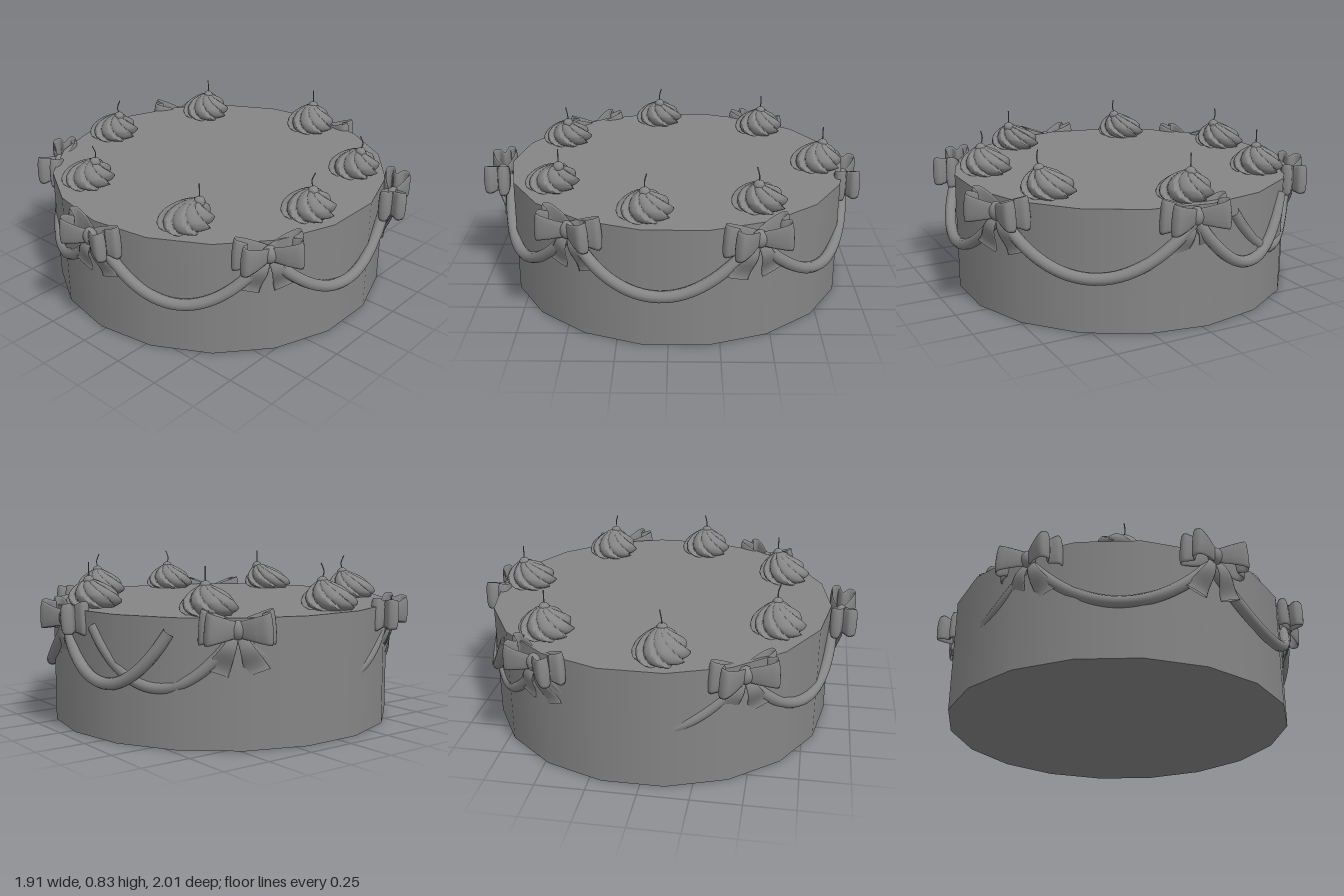
import * as THREE from 'three';
import { ParametricGeometry } from 'three/addons/geometries/ParametricGeometry.js';

const mat = new THREE.MeshStandardMaterial({ color: 0x858585, side: THREE.DoubleSide });
const V = (x, y, z) => new THREE.Vector3(x, y, z);

function add(parent, name, geometry, x = 0, y = 0, z = 0) {
  const m = new THREE.Mesh(geometry, mat);
  m.name = name;
  m.position.set(x, y, z);
  parent.add(m);
  return m;
}

// Flat band with rounded edges: path(u) gives its centre line, half(u) its half width,
// across the direction of its width
function ribbon(path, half, across, thick, steps) {
  const w = across.normalize();
  return new ParametricGeometry((u, v, out) => {
    const e = 0.01;
    const dir = path(Math.min(1, u + e)).sub(path(Math.max(0, u - e))).normalize();
    const n = V(0, 0, 0).crossVectors(dir, w).normalize();
    const a = v * Math.PI * 2;
    out.copy(path(u)).addScaledVector(w, half(u) * Math.cos(a)).addScaledVector(n, thick * Math.sin(a));
  }, steps, 10);
}

// Bow facing +z with its knot at the origin
function createBow() {
  const bow = new THREE.Group();
  bow.name = 'bow';
  for (const s of [-1, 1]) {
    // Each loop has a pleat pinched into its outer end
    const outline = new THREE.CatmullRomCurve3([
      [0, -0.01], [0.09, -0.035], [0.16, -0.03], [0.165, 0], [0.115, 0.02],
      [0.145, 0.055], [0.13, 0.085], [0.08, 0.07], [0, 0.02]].map(([x, z]) => V(s * x, 0.07 * x, z)));
    const loop = ribbon(
      u => outline.getPoint(u),
      u => 0.035 + 0.28 * Math.abs(outline.getPoint(u).x),
      V(s * -0.08, 1, 0), 0.008, 40);
    add(bow, 'bowLoop', loop);
    const tail = ribbon(
      u => V(s * (0.01 + 0.085 * u), -0.02 - 0.18 * u, 0.005 + 0.02 * Math.sin(u * 5)),
      u => 0.018 + 0.042 * u,
      V(1, s * 0.35, 0), 0.007, 10);
    add(bow, 'bowTail', tail);
  }
  add(bow, 'bowKnot', new THREE.SphereGeometry(1, 14, 10), 0, 0, 0.015).scale.set(0.038, 0.046, 0.034);
  return bow;
}

// Piped cream swirl with eight twisted blades; its tip leans by (dx, dz)
function creamSwirl(dx, dz) {
  const profile = new THREE.CatmullRomCurve3([
    V(0.1, 0, 0), V(0.128, 0.025, 0), V(0.122, 0.06, 0), V(0.088, 0.1, 0), V(0.045, 0.13, 0), V(0.004, 0.15, 0)]);
  return new ParametricGeometry((u, v, out) => {
    const p = profile.getPoint(v);
    const a = u * Math.PI * 2;
    const f = (8 * (u + v * 0.28)) % 1;
    const blade = f < 0.75 ? Math.pow(f / 0.75, 0.7) : (1 - f) / 0.25;
    const r = p.x * (0.84 + 0.24 * blade);
    const lean = v * v;
    out.set(r * Math.sin(a) + dx * lean, p.y, r * Math.cos(a) + dz * lean);
  }, 96, 20);
}

// Draped cord from azimuth a0 to a1 (degrees), hung around the side of the cake
function swag(a0, a1, r0, rMid, r1) {
  const pts = [];
  for (let i = 0; i <= 14; i++) {
    const t = i / 14, k = 2 * t - 1;
    const a = THREE.MathUtils.degToRad(a0 + (a1 - a0) * t);
    const r = rMid + ((k < 0 ? r0 : r1) - rMid) * Math.pow(k, 4);
    pts.push(V(r * Math.sin(a), 0.28 + 0.26 * k * k, r * Math.cos(a)));
  }
  return new THREE.TubeGeometry(new THREE.CatmullRomCurve3(pts), 36, 0.029, 10, false);
}

export function createModel() {
  const model = new THREE.Group();
  model.name = 'cake';

  add(model, 'cakeBody', new THREE.CylinderGeometry(0.897, 0.897, 0.61, 18), -0.03, 0.305, -0.035);

  // Cream swirls with cherries: x, z, lean x, lean z
  const swirls = [
    [0.025, -0.78, -0.01, -0.035], [0.57, -0.44, 0.045, 0.01], [0.685, 0.11, 0.025, 0], [0.325, 0.6, 0.055, -0.045],
    [-0.38, 0.6, 0.055, -0.01], [-0.76, 0.08, 0.05, -0.005], [-0.585, -0.52, 0.015, -0.01]];
  swirls.forEach(([x, z, dx, dz], i) => {
    const topping = new THREE.Group();
    topping.name = 'topping';
    topping.position.set(x, 0.605, z);
    add(topping, 'creamSwirl', creamSwirl(dx, dz));
    add(topping, 'cherry', new THREE.SphereGeometry(0.028, 14, 10), dx, 0.132, dz);
    const bend = 0.012 * Math.sin(i * 2.1);
    const stem = new THREE.CatmullRomCurve3([V(dx, 0.15, dz), V(dx + bend, 0.185, dz), V(dx, 0.225, dz + bend)]);
    add(topping, 'cherryStem', new THREE.TubeGeometry(stem, 8, 0.003, 6));
    model.add(topping);
  });

  // Bows: azimuth from the front in degrees, distance from the centre
  const bows = [[0, 0.9], [57.5, 0.87], [117, 0.92], [177, 0.915], [237, 0.945], [301.5, 0.895]];
  for (const [deg, r] of bows) {
    const a = THREE.MathUtils.degToRad(deg);
    const bow = createBow();
    bow.position.set(r * Math.sin(a), 0.56, r * Math.cos(a));
    bow.rotation.y = a;
    model.add(bow);
  }

  // Swags; the last two cross each other, one partly sunk into the side
  const swags = [
    [0, 57.5, 0.87, 0.865, 0.86], [57.5, 117, 0.86, 0.885, 0.91], [117, 177, 0.91, 0.925, 0.92],
    [237, 301.5, 0.93, 0.885, 0.88], [301.5, 360, 0.88, 0.875, 0.87],
    [177, 218, 0.92, 0.945, 0.935], [191, 237, 0.915, 0.92, 0.94]];
  for (const s of swags) add(model, 'swag', swag(...s));

  return model;
}
